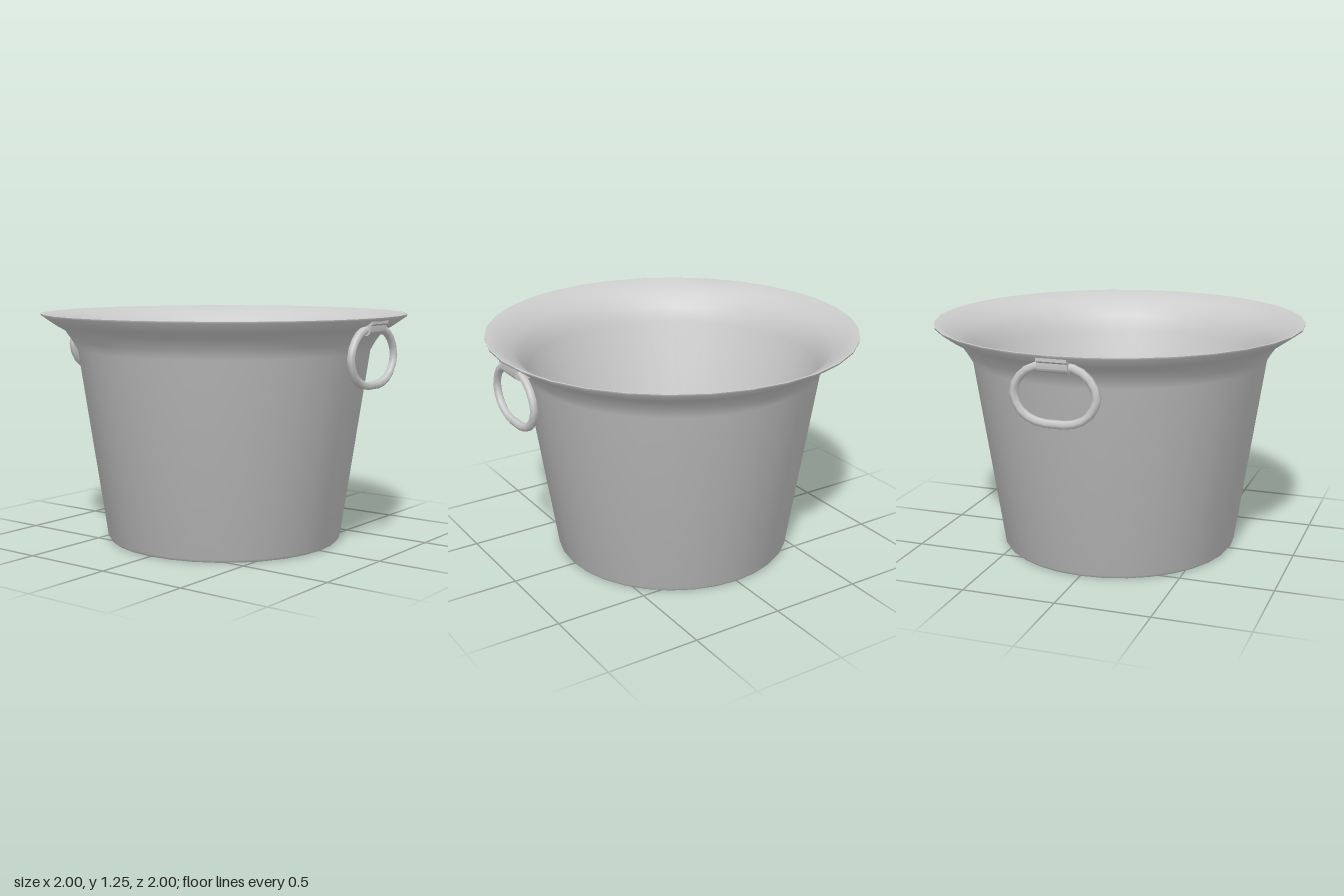
import * as THREE from 'three';
import { toCreasedNormals } from 'three/addons/utils/BufferGeometryUtils.js';

const material = new THREE.MeshStandardMaterial({ color: 0xcccccc });

function addMesh(parent, name, geometry) {
  const mesh = new THREE.Mesh(geometry, material);
  mesh.name = name;
  parent.add(mesh);
}

// Closed profile: under the base, up the outer wall, over the rim, down the inside
function bucketGeometry() {
  const profile = [
    [0, 0], [0.638, 0], [0.65, 0.016],
    [0.803, 1.05], [0.835, 1.105], [0.87, 1.155], [0.925, 1.187], [0.998, 1.238],
    [1, 1.247], [0.992, 1.248],
    [0.92, 1.207], [0.862, 1.168], [0.82, 1.115], [0.786, 1.04],
    [0.546, 0.1], [0, 0.1],
  ];
  const points = profile.map(([r, y]) => new THREE.Vector2(r, y));
  return toCreasedNormals(new THREE.LatheGeometry(points, 32), 0.8);
}

// Rounded oval ring in the plane x = 0, hanging from y = 1.19
function ringGeometry() {
  const half = [[0.08, 1.188], [0.165, 1.145], [0.213, 1.05], [0.17, 0.953], [0.085, 0.91]];
  const outline = [
    [0, 1.19], ...half, [0, 0.905],
    ...half.slice().reverse().map(([z, y]) => [-z, y]),
  ];
  const path = new THREE.CatmullRomCurve3(
    outline.map(([z, y]) => new THREE.Vector3(0, y, z)), true);
  return new THREE.TubeGeometry(path, 24, 0.022, 6, true);
}

// Strap wrapped under the ring, with a flange on each side against the rim's underside
function clipGeometry() {
  const width = 0.155;
  const shape = new THREE.Shape();
  shape.moveTo(-0.05, 1.158);
  shape.lineTo(-0.03, 1.172);
  shape.absarc(0, 1.187, 0.03, Math.PI, Math.PI * 2, false);
  shape.lineTo(0.03, 1.207);
  shape.lineTo(0.042, 1.216);
  shape.lineTo(0.042, 1.233);
  shape.lineTo(-0.05, 1.173);
  shape.closePath();
  const geometry = new THREE.ExtrudeGeometry(shape, {
    depth: width, bevelEnabled: false, curveSegments: 8,
  });
  geometry.translate(0, 0, -width / 2);
  return toCreasedNormals(geometry, 0.6);
}

export function createModel() {
  const model = new THREE.Group();
  model.name = 'bucket';
  addMesh(model, 'bucketBody', bucketGeometry());

  // One hanging ring handle on each side
  for (const [side, x, turn] of [['left', 0.94, 0], ['right', -0.953, Math.PI]]) {
    const handle = new THREE.Group();
    handle.name = side + 'Handle';
    handle.position.x = x;
    handle.rotation.y = turn;
    addMesh(handle, side + 'Ring', ringGeometry());
    addMesh(handle, side + 'Clip', clipGeometry());
    model.add(handle);
  }
  return model;
}
